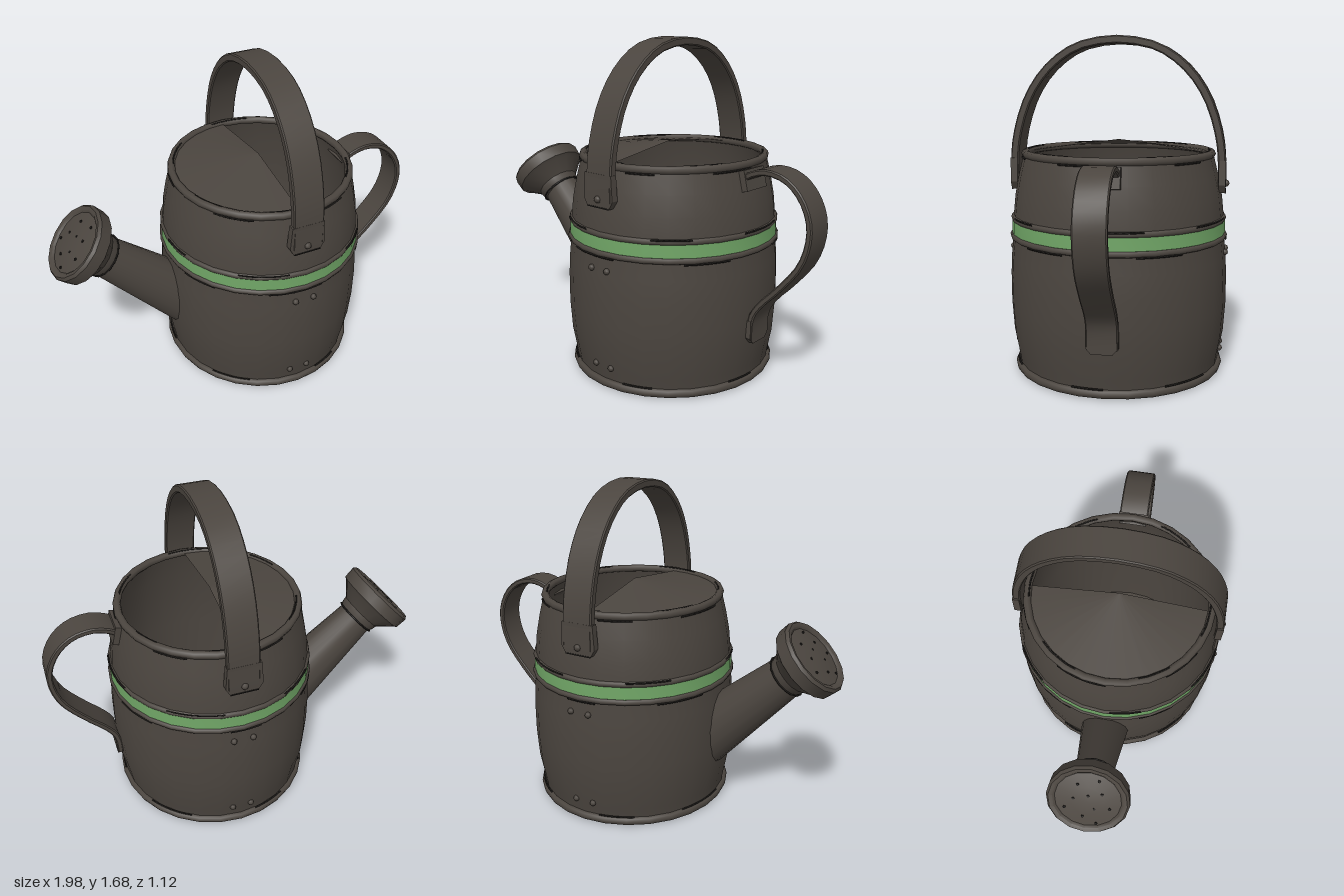
import * as THREE from 'three';
import { toCreasedNormals } from 'three/addons/utils/BufferGeometryUtils.js';

const iron = new THREE.MeshStandardMaterial({ color: 0x4b453f });
iron.name = 'dark iron';
const ironSheet = new THREE.MeshStandardMaterial({ color: 0x4b453f, side: THREE.DoubleSide });
ironSheet.name = 'dark iron sheet';
const green = new THREE.MeshStandardMaterial({ color: 0x70a566 });
green.name = 'green paint';
const ink = new THREE.MeshStandardMaterial({ color: 0x1e1c1a });
ink.name = 'dark seam';

function add(parent, name, geometry, material, x = 0, y = 0, z = 0) {
  const mesh = new THREE.Mesh(geometry, material);
  mesh.name = name;
  mesh.position.set(x, y, z);
  parent.add(mesh);
  return mesh;
}

// Turned part from [radius, height] pairs
function turned(profile, segments = 28) {
  const g = new THREE.LatheGeometry(profile.map(([r, y]) => new THREE.Vector2(r, y)), segments);
  return toCreasedNormals(g, 0.6);
}

// Flat strap following a 2D path, extruded symmetrically across its width
function strap(path, thickness, width, samples) {
  const curve = new THREE.SplineCurve(path.map(([x, y]) => new THREE.Vector2(x, y)));
  const outer = [], inner = [];
  for (let i = 0; i <= samples; i++) {
    const p = curve.getPoint(i / samples), t = curve.getTangent(i / samples);
    const n = new THREE.Vector2(-t.y, t.x).multiplyScalar(thickness / 2);
    outer.push(p.clone().add(n));
    inner.unshift(p.clone().sub(n));
  }
  const g = new THREE.ExtrudeGeometry(new THREE.Shape([...outer, ...inner]), {
    depth: width - 0.012, bevelEnabled: true, bevelSegments: 1,
    bevelSize: 0.006, bevelThickness: 0.006, bevelOffset: -0.006,
  });
  g.translate(0, 0, -(width - 0.012) / 2);
  return toCreasedNormals(g, 0.6);
}

// Thin plate with an outline in x and y
function plate(outline, depth) {
  const shape = new THREE.Shape(outline.map(([x, y]) => new THREE.Vector2(x, y)));
  const g = new THREE.ExtrudeGeometry(shape, { depth, bevelEnabled: false });
  return g.translate(0, 0, -depth / 2);
}

function ring(parent, name, radius, y, tube) {
  add(parent, name, new THREE.TorusGeometry(radius, tube, 8, 28), iron, 0, y).rotation.x = Math.PI / 2;
}

export function createModel() {
  const model = new THREE.Group();
  model.name = 'wateringCan';

  // Barrel body, slightly deeper than wide
  const body = new THREE.Group();
  body.name = 'body';
  body.position.x = 0.142;
  body.scale.z = 1.03;
  model.add(body);
  add(body, 'barrel', turned([
    [0, 0.02], [0.495, 0.02], [0.507, 0.1], [0.525, 0.2], [0.535, 0.35], [0.535, 0.5],
    [0.53, 0.6], [0.52, 0.7], [0.518, 0.79], [0.507, 0.9], [0.488, 1.0], [0.464, 1.1],
    [0.445, 1.11], [0.485, 0.95], [0.505, 0.6], [0.485, 0.06], [0, 0.06],
  ]), iron);
  add(body, 'greenBand', turned([[0.518, 0.71], [0.526, 0.715], [0.524, 0.778], [0.515, 0.783]]), green);
  ring(body, 'baseRing', 0.498, 0.03, 0.022);
  ring(body, 'lowerBandRing', 0.52, 0.7, 0.016);
  ring(body, 'upperBandRing', 0.515, 0.789, 0.015);
  ring(body, 'topRim', 0.454, 1.108, 0.02);

  // Broken dark seams beside the rings
  const seams = [[0.505, 0.054], [0.529, 0.685], [0.526, 0.8], [0.469, 1.09], [0.444, 1.124]];
  seams.forEach(([r, y], k) => {
    for (let i = 0; i < 6; i++) {
      const arc = 0.3 + 0.3 * ((i * 3 + k * 2) % 5) / 5;
      const g = new THREE.TorusGeometry(r, 0.005, 4, 8, arc);
      g.rotateX(Math.PI / 2).rotateY(i * Math.PI / 3 + k * 0.7);
      add(body, 'seamDash', g, ink, 0, y);
    }
  });

  // Half cover over the spout side, rising to the centre
  const cover = new THREE.ConeGeometry(0.45, 0.065, 14, 1, true, Math.PI, Math.PI);
  add(body, 'halfCover', cover, ironSheet, -0.01, 1.141, 0);

  // Spout and its flared rose share one tilted axis
  const spout = new THREE.Group();
  spout.name = 'spout';
  spout.position.set(-0.725, 0.79, 0);
  spout.rotation.z = 0.806;
  model.add(spout);
  const pipe = add(spout, 'spoutPipe', new THREE.CylinderGeometry(0.105, 0.163, 0.66, 16), iron, 0, -0.33, 0);
  pipe.scale.z = 0.88;
  add(spout, 'rose', turned([
    [0, -0.01], [0.108, -0.01], [0.116, 0.01], [0.12, 0.035], [0.185, 0.1], [0.203, 0.112],
    [0.207, 0.175], [0.195, 0.19], [0.175, 0.186], [0.165, 0.176], [0.08, 0.19], [0, 0.192],
  ], 16), iron).scale.x = 0.96;
  add(spout, 'neckSeam', new THREE.TorusGeometry(0.111, 0.005, 4, 16), ink, 0, -0.008).rotation.x = Math.PI / 2;

  // Holes scattered over the rose
  for (let i = 0; i < 10; i++) {
    const a = i * 2.4, r = 0.045 * Math.sqrt(i + 0.5);
    add(spout, 'roseHole', new THREE.CylinderGeometry(0.007, 0.007, 0.006, 6), ink,
      r * Math.cos(a), 0.19 - 0.06 * Math.max(0, r - 0.08), r * Math.sin(a));
  }

  // Carrying handle arching from front to back
  const half = [[0.522, 0.95], [0.518, 1.1], [0.5, 1.22], [0.455, 1.36], [0.385, 1.48], [0.29, 1.575], [0.17, 1.64]];
  const arch = [...half, [0, 1.665], ...half.map(([z, y]) => [-z, y]).reverse()];
  add(model, 'carryingHandle', strap(arch, 0.04, 0.16, 28), iron, 0.14, 0, 0).rotation.y = -Math.PI / 2;

  for (const side of [-1, 1]) {
    // Flared foot plate with a rivet
    const foot = plate([[-0.07, 0.92], [0.07, 0.92], [0.093, 0.96], [0.085, 1.08], [-0.085, 1.08], [-0.093, 0.96]], 0.035);
    add(model, 'handleFoot', foot, iron, 0.137, 0, side * 0.522);
    add(model, 'footRivet', new THREE.SphereGeometry(0.018, 8, 6), iron, 0.137, 0.96, side * 0.54);
    add(model, 'footSeam', new THREE.BoxGeometry(0.14, 0.006, 0.008), ink, 0.137, 0.922, side * 0.538);
    // Rivets on the barrel wall
    for (const x of [0.09, 0.19]) {
      for (const y of [0.12, 0.62]) {
        add(model, 'wallRivet', new THREE.SphereGeometry(0.016, 8, 6), iron, x, y, side * (y < 0.3 ? 0.523 : 0.542));
      }
    }
  }

  // Rear handle curving out from the wall and back
  const grip = [[0.6, 1.03], [0.65, 1.07], [0.74, 1.095], [0.84, 1.075], [0.92, 1.01], [0.97, 0.91], [0.973, 0.8],
    [0.93, 0.68], [0.83, 0.555], [0.73, 0.45], [0.685, 0.37], [0.678, 0.26]];
  add(model, 'rearHandle', strap(grip, 0.03, 0.15, 28), iron, 0, 0, -0.002);
  add(model, 'rearHandleTopPlate', new THREE.BoxGeometry(0.035, 0.1, 0.16), iron, 0.625, 1.04, 0).rotation.z = 0.24;
  const tip = plate([[-0.075, 0.36], [-0.075, 0.27], [-0.05, 0.24], [0.05, 0.24], [0.075, 0.27], [0.075, 0.36]], 0.03);
  add(model, 'rearHandleTip', tip, iron, 0.676, 0, 0).rotation.y = Math.PI / 2;

  return model;
}
